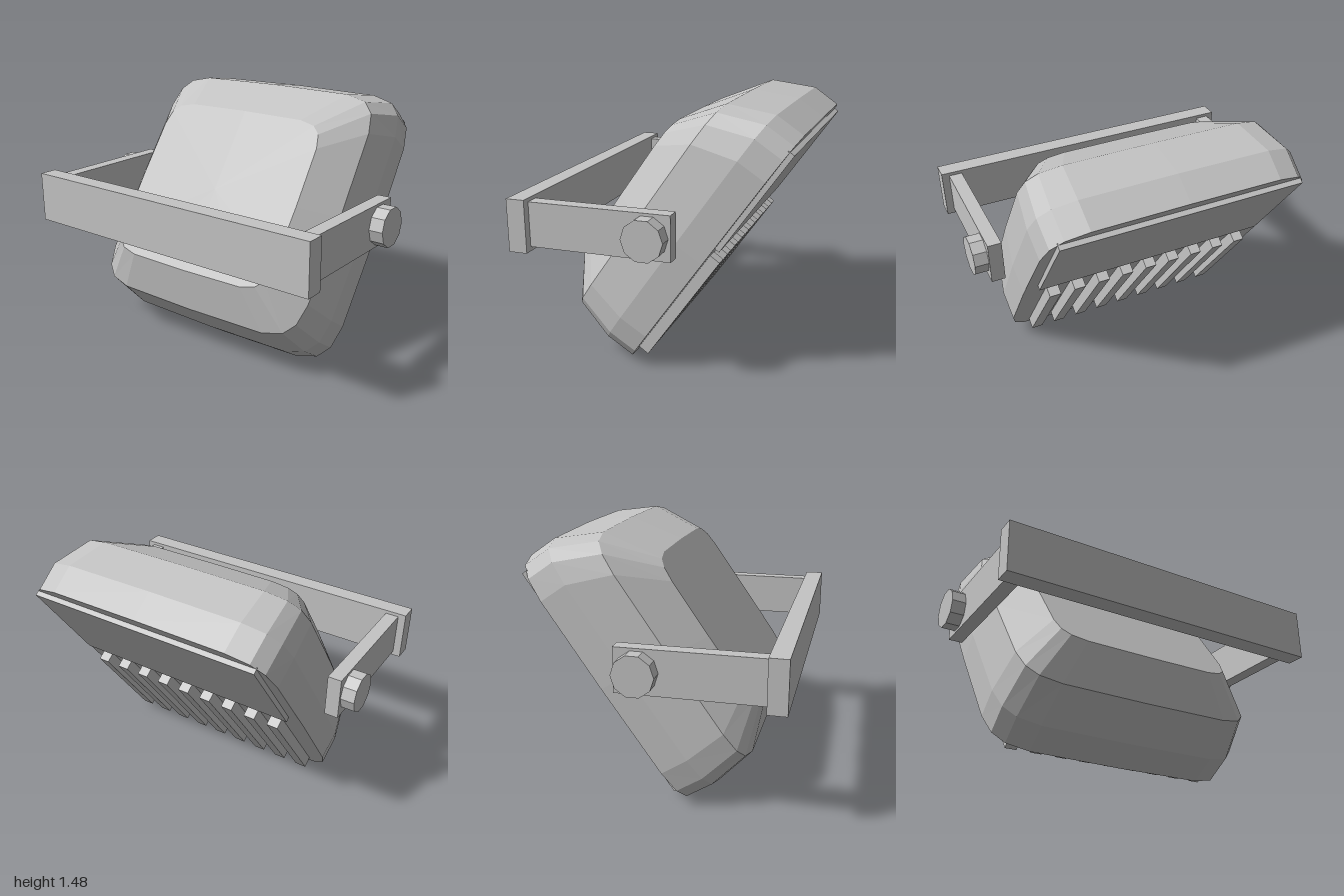
import * as THREE from 'three';

const grey = new THREE.MeshStandardMaterial({ color: 0xc4c4c4 });
grey.name = 'grey';

// Quarter outline of the rounded rectangle, from the right side to the top
const QUARTER = [[1, 0], [0.99, 0.69], [0.953, 0.855], [0.87, 0.945], [0.7, 0.99], [0, 1]];

function outline() {
  const pts = [];
  for (let q = 0; q < 4; q++) {
    const sx = q === 0 || q === 3 ? 1 : -1;
    const sy = q < 2 ? 1 : -1;
    const quarter = q % 2 ? [...QUARTER].reverse() : QUARTER;
    quarter.slice(0, -1).forEach(([x, y]) => pts.push([x * sx, y * sy]));
  }
  return pts;
}

// Faceted housing lofted through rings: [z, half width, bottom, top]
function housingGeometry() {
  const unit = outline();
  const rings = [
    [0, 0.777, -0.822, 0.822],
    [0.175, 0.785, -0.827, 0.821],
    [0.42, 0.745, -0.781, 0.697],
    [0.602, 0.567, -0.592, 0.424],
  ].map(([z, w, lo, hi]) =>
    unit.map(([x, y]) => [x * w, (lo + hi) / 2 + (y * (hi - lo)) / 2, z]));
  const pos = [];
  const tri = (...corners) => corners.forEach((p) => pos.push(...p));
  const n = unit.length;
  const last = rings.length - 1;
  for (let j = 0; j < n; j++) {
    const k = (j + 1) % n;
    for (let i = 0; i < last; i++) {
      tri(rings[i][j], rings[i][k], rings[i + 1][k]);
      tri(rings[i][j], rings[i + 1][k], rings[i + 1][j]);
    }
    tri([0, 0, 0], rings[0][k], rings[0][j]);
    tri([0, -0.084, 0.602], rings[last][j], rings[last][k]);
  }
  const geo = new THREE.BufferGeometry();
  geo.setAttribute('position', new THREE.Float32BufferAttribute(pos, 3));
  geo.computeVertexNormals();
  return geo;
}

function add(parent, name, geo, x = 0, y = 0, z = 0) {
  const mesh = new THREE.Mesh(geo, grey);
  mesh.name = name;
  mesh.position.set(x, y, z);
  parent.add(mesh);
  return mesh;
}

// Box given by its lower and upper limits on each axis
function addBox(parent, name, [x0, x1], [y0, y1], [z0, z1]) {
  return add(parent, name, new THREE.BoxGeometry(x1 - x0, y1 - y0, z1 - z0),
    (x0 + x1) / 2, (y0 + y1) / 2, (z0 + z1) / 2);
}

export function createModel() {
  const model = new THREE.Group();
  model.name = 'floodlight';

  // Tilted lamp head
  const head = new THREE.Group();
  head.name = 'lampHead';
  head.position.set(0, 0.683, -0.2725);
  head.rotation.x = -0.613;
  model.add(head);
  add(head, 'housing', housingGeometry());
  addBox(head, 'backPanel', [-0.705, 0.705], [0.084, 0.748], [-0.029, 0.01]);

  // Cooling fins below the panel
  for (let i = -4; i <= 4; i++) {
    const x = i * 0.152;
    addBox(head, 'coolingFin', [x - 0.034, x + 0.034], [-0.729, 0.006], [-0.065, 0.01]);
  }

  // U-shaped mounting bracket
  const bracket = new THREE.Group();
  bracket.name = 'bracket';
  model.add(bracket);
  addBox(bracket, 'crossBar', [-0.965, 0.965], [0.705, 1], [0.645, 0.75]);
  for (const s of [-1, 1]) {
    const arm = s > 0 ? [0.84, 0.92] : [-0.92, -0.84];
    addBox(bracket, 'bracketArm', arm, [0.73, 0.98], [-0.155, 0.645]);

    // Ten-sided pivot knob
    const knobGeo = new THREE.CylinderGeometry(0.115, 0.115, 0.09, 10).toNonIndexed();
    knobGeo.computeVertexNormals();
    const knob = add(bracket, 'pivotKnob', knobGeo, s * 0.955, 0.855, -0.028);
    knob.rotation.z = Math.PI / 2;
  }
  return model;
}
